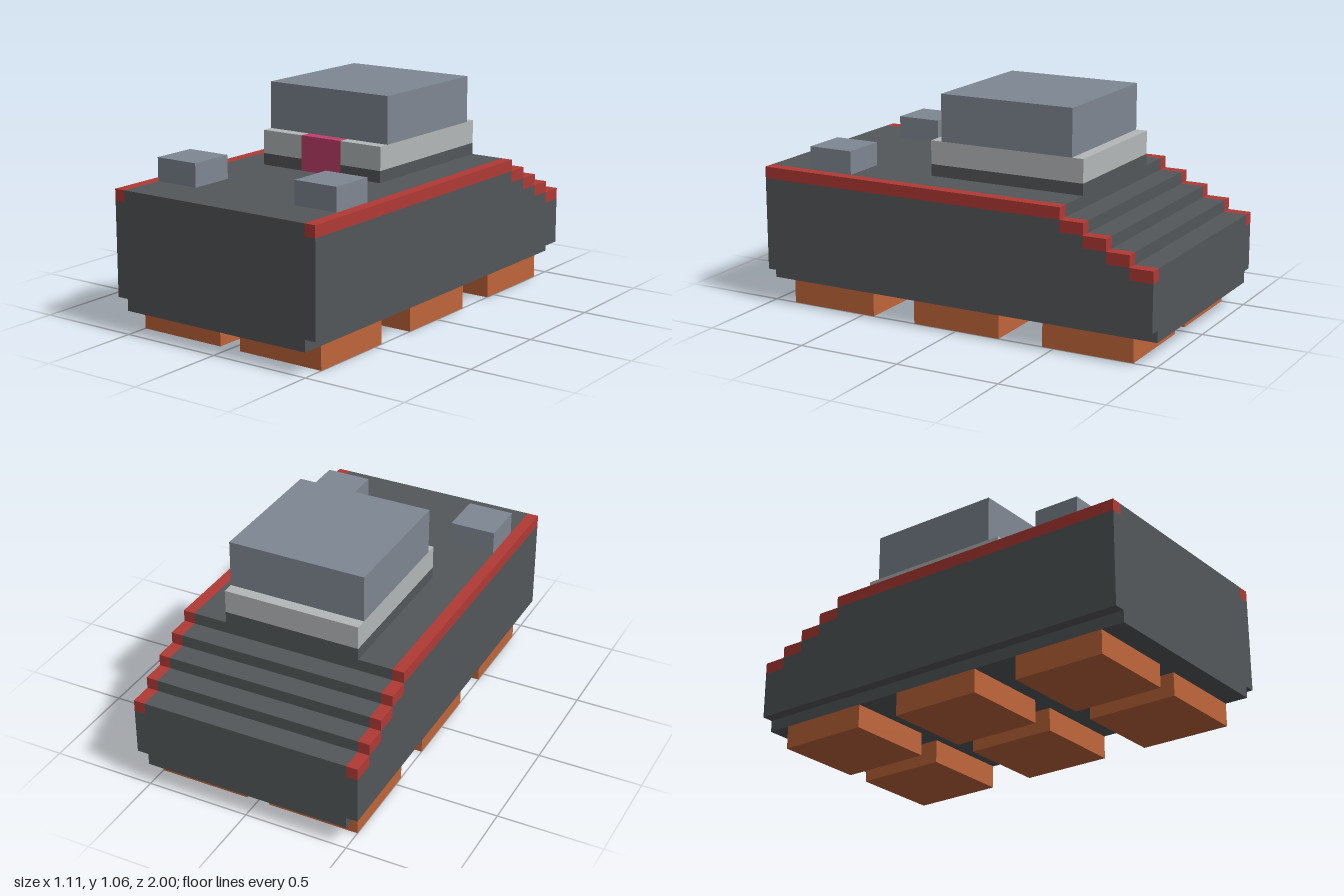
import * as THREE from 'three';

const U = 1 / 18; // block size
const mat = (name, color) => Object.assign(new THREE.MeshStandardMaterial({ color }), { name });

export function createModel() {
  const model = new THREE.Group();
  model.name = 'tracklessTank';
  const dark = mat('darkGrey', 0x53575a);
  const slate = mat('slateGrey', 0x7f8793);
  const light = mat('lightGrey', 0xb4b8b9);
  const red = mat('red', 0xb03a34);
  const pink = mat('magenta', 0xc23f6c);
  const orange = mat('orange', 0xc0653a);

  const add = (name, geometry, material) => {
    const mesh = new THREE.Mesh(geometry.scale(U, U, U), material);
    mesh.name = name;
    model.add(mesh);
  };
  // Box given by its ranges in blocks
  const box = (name, material, [x0, x1], [y0, y1], [z0, z1]) =>
    add(name, new THREE.BoxGeometry(x1 - x0, y1 - y0, z1 - z0)
      .translate((x0 + x1) / 2, (y0 + y1) / 2, (z0 + z1) / 2), material);
  const extrude = (points, depth) => new THREE.ExtrudeGeometry(
    new THREE.Shape(points.map(([x, y]) => new THREE.Vector2(x, y))), { depth, bevelEnabled: false });

  // Side profile with four steps down towards the back
  const profile = (bottom, top) => {
    const points = [[-18, bottom], [18, bottom]];
    for (let i = 4; i > 0; i--) points.push([10 + 2 * i, top - i], [8 + 2 * i, top - i]);
    points.push([10, top], [-18, top]);
    return points;
  };
  const slab = (bottom, top, x0, x1) =>
    extrude(profile(bottom, top), x1 - x0).rotateY(Math.PI / 2).translate(x0, 0, 0);

  // Hull core and overhanging side walls
  add('hullCore', slab(2, 12, -9, 9), dark);
  add('leftSideWall', slab(3, 11, 9, 10), dark);
  add('rightSideWall', slab(3, 11, -10, -9), dark);

  for (const [side, s] of [['left', 1], ['right', -1]]) {
    const span = (a, b) => (s > 0 ? [a, b] : [-b, -a]);
    // Red edge trim following the steps
    box(side + 'DeckTrim', red, span(9, 10), [11, 12], [-10, 18]);
    for (let i = 1; i <= 4; i++)
      box(side + 'StepTrim' + i, red, span(9, 10), [11 - i, 12 - i], [-10 - 2 * i, -8 - 2 * i]);
    // Headlight block and feet
    box(side + 'FrontBlock', slate, span(5, 9), [12, 14], [10, 14]);
    [12, 0, -12].forEach((z, i) =>
      box(side + 'Foot' + (i + 1), orange, span(1, 9), [0, 2], [z - 4, z + 4]));
  }

  // Turret base, notched at the front for the coloured hatch
  const plan = [[-6, -4], [-2, -4], [-2, -3], [2, -3], [2, -4], [6, -4], [6, 10], [-6, 10]];
  const tier = (y0, y1) => extrude(plan, y1 - y0).rotateX(-Math.PI / 2).translate(0, y0, 0);
  add('turretRing', tier(12, 13), dark);
  add('turretBase', tier(13, 15), light);
  box('frontHatch', pink, [-2, 2], [12, 15], [3, 4]);
  box('turretTop', slate, [-6, 6], [15, 19], [-9, 3]);

  return model;
}
